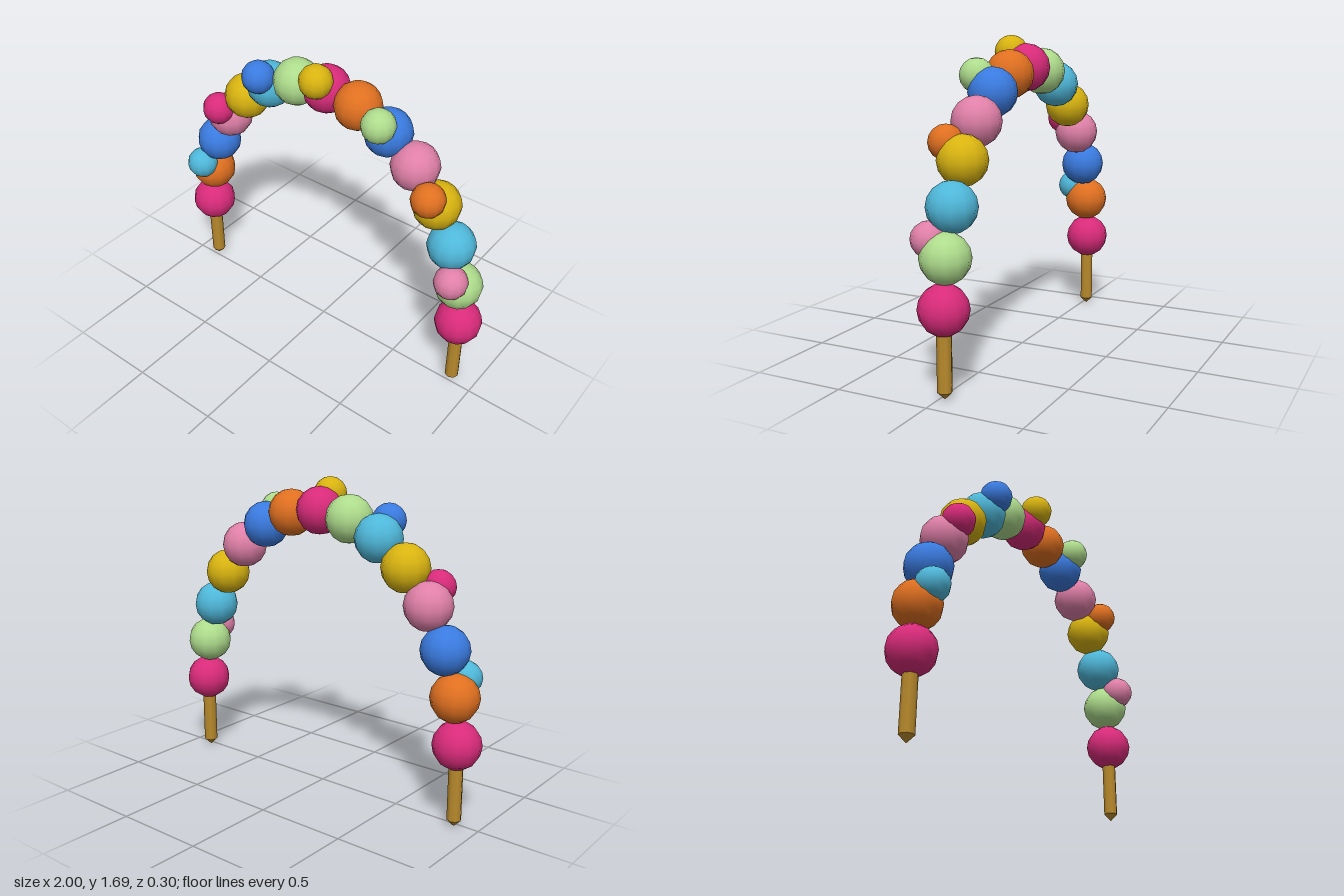
import * as THREE from 'three';

const mat = (name, color) => {
  const m = new THREE.MeshStandardMaterial({ color });
  m.name = name;
  return m;
};

export function createModel() {
  const group = new THREE.Group();
  const palette = [
    mat('magenta', 0xd92b7a),
    mat('orange', 0xe07020),
    mat('blue', 0x3a7be0),
    mat('rose', 0xe080a8),
    mat('yellow', 0xd9b410),
    mat('cyan', 0x4fb8da),
    mat('green', 0xaedc8c),
  ];
  const wood = mat('wood', 0xb98a2c);

  const add = (name, geometry, material, x, y, z) => {
    const mesh = new THREE.Mesh(geometry, material);
    mesh.name = name;
    mesh.position.set(x, y, z);
    group.add(mesh);
    return mesh;
  };

  const halfWidth = 0.872, baseY = 0.44, rise = 1.085, archZ = -0.025;
  const count = 15;
  const bigBall = new THREE.SphereGeometry(0.126, 12, 8);
  const smallBall = new THREE.SphereGeometry(0.089, 12, 8);

  // Balloons along a half ellipse, with a small one in front of every second
  for (let i = 0; i < count; i++) {
    const a = (Math.PI * i) / (count - 1);
    const x = -halfWidth * Math.cos(a);
    const y = baseY + rise * Math.sin(a);
    add('balloon', bigBall, palette[i % 7], x, y, archZ);
    if (i % 2) add('smallBalloon', smallBall, palette[(i + 4) % 7], x, y + 0.08, archZ + 0.089);
  }

  // Pointed ground stakes
  const shaft = new THREE.CylinderGeometry(0.038, 0.038, 0.36, 8);
  const tip = new THREE.ConeGeometry(0.038, 0.038, 8).rotateX(Math.PI);
  for (const side of [-1, 1]) {
    add('stake', shaft, wood, side * halfWidth, 0.218, archZ);
    add('stakeTip', tip, wood, side * halfWidth, 0.019, archZ);
  }
  return group;
}
